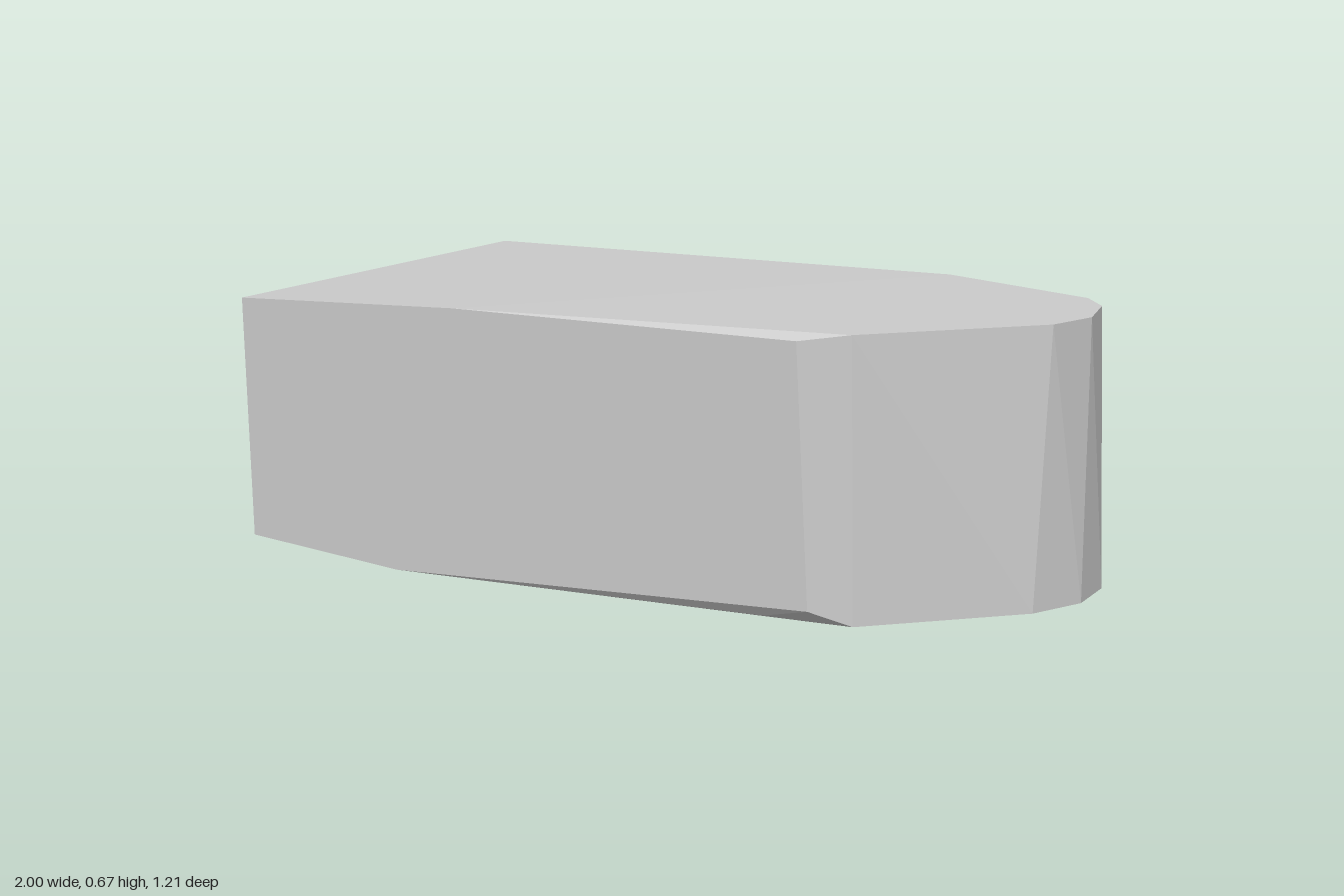
import * as THREE from 'three';
import { ConvexGeometry } from 'three/addons/geometries/ConvexGeometry.js';

export function createModel() {
  const group = new THREE.Group();
  group.name = 'roundedNoseBlock';
  const grey = new THREE.MeshStandardMaterial({ color: 0xcccccc });
  grey.name = 'plain grey';

  // Upper rim as [x, y, z], from the flat end along the front, round the nose and back
  const upperRim = [
    [-1, 0.645, 0.6], [-0.4, 0.66, 0.582], [0.49, 0.647, 0.55], [0.61, 0.665, 0.515],
    [0.95, 0.665, 0.17], [0.99, 0.665, 0.03], [0.952, 0.665, -0.14], [0.88, 0.665, -0.24],
    [0.43, 0.665, -0.45], [-1, 0.645, -0.603],
  ];

  // Lower rim, its nose points staggered against the upper ones
  const lowerRim = [
    [-0.985, 0.05, 0.6], [-0.57, 0.006, 0.585], [0.52, 0.03, 0.547], [0.4, 0.003, 0.535],
    [0.62, 0, 0.518], [0.935, 0, 0.22], [1, 0, 0.08], [0.995, 0, -0.07],
    [0.94, 0, -0.185], [0.8, 0, -0.305], [0.43, 0, -0.46], [-1, 0.04, -0.605],
  ];

  // Faceted convex body spanning both rims
  const points = [...upperRim, ...lowerRim].map((p) => new THREE.Vector3(...p));
  const body = new THREE.Mesh(new ConvexGeometry(points), grey);
  body.name = 'body';
  group.add(body);
  return group;
}
